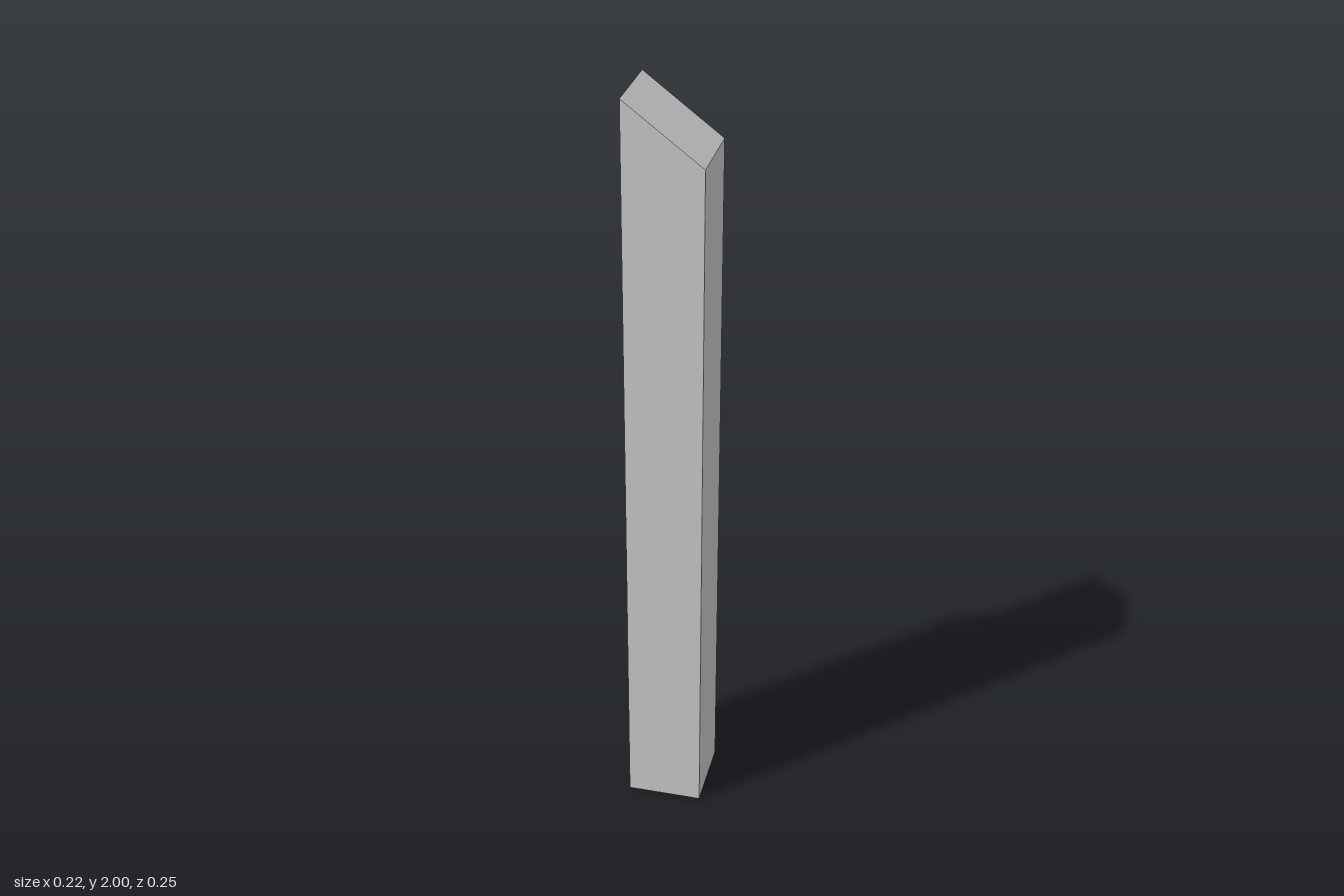
import * as THREE from 'three';

const material = new THREE.MeshStandardMaterial({ color: 0xcccccc, side: THREE.DoubleSide, flatShading: true });

function makeMesh(name, geometry, parent) {
  const mesh = new THREE.Mesh(geometry, material);
  mesh.name = name;
  parent.add(mesh);
  return mesh;
}

const toPoints = (list) => list.map(([x, y]) => new THREE.Vector2(x, y));
const rect = (x0, y0, x1, y1) => [[x0, y0], [x1, y0], [x1, y1], [x0, y1]];

// Flat sheet with optional holes, placed at depth z
function sheet(outline, z, holes = []) {
  const shape = new THREE.Shape(toPoints(outline));
  holes.forEach((h) => shape.holes.push(new THREE.Path(toPoints(h))));
  return new THREE.ShapeGeometry(shape).translate(0, 0, z);
}

// Walls along a counter-clockwise run of points, from depth z0 (back) to z1 (front)
function walls(run, z0, z1) {
  const pos = [];
  for (let i = 0; i < run.length - 1; i++) {
    const [ax, ay] = run[i], [bx, by] = run[i + 1];
    pos.push(ax, ay, z1, ax, ay, z0, bx, by, z0);
    pos.push(ax, ay, z1, bx, by, z0, bx, by, z1);
  }
  const geometry = new THREE.BufferGeometry();
  geometry.setAttribute('position', new THREE.Float32BufferAttribute(pos, 3));
  geometry.computeVertexNormals();
  return geometry;
}

export function createModel() {
  const model = new THREE.Group();
  model.name = 'slantedTower';

  // Main tower: hollow, open below, with its back panel set in behind a rim
  const tower = new THREE.Group();
  tower.name = 'tower';
  model.add(tower);
  const [x0, x1, zBack, zFront] = [-0.09, 0.108, -0.078, 0.127];
  const outline = [[x1, 0], [x1, 1.85], [x0, 2], [x0, 0]];
  makeMesh('towerFront', sheet(outline, zFront), tower);
  makeMesh('towerBackPanel', sheet(outline, -0.072), tower);
  makeMesh('towerSideAndRoof', walls(outline.slice(0, 3), zBack, zFront), tower);

  // Side wall with a window recess above and a tall slot below
  const side = new THREE.Group();
  side.name = 'recessedSide';
  side.rotation.y = -Math.PI / 2;
  side.position.x = x0;
  tower.add(side);
  const recesses = [
    { name: 'windowRecess', loop: rect(-0.07, 1.43, 0.119, 1.935), depth: 0.005 },
    { name: 'slotRecess', loop: rect(-0.003, 0.03, 0.053, 1.365), depth: 0.005 },
  ];
  makeMesh('sideWall', sheet(rect(zBack, 0, zFront, 2), 0, recesses.map((r) => r.loop)), side);
  recesses.forEach(({ name, loop, depth }) => {
    makeMesh(name + 'Panel', sheet(loop, -depth), side);
    makeMesh(name + 'Reveal', walls([...loop, loop[0]].reverse(), -depth, 0), side);
  });

  // Lower slab on the back, sloping the opposite way, open below
  const slab = new THREE.Group();
  slab.name = 'backSlab';
  model.add(slab);
  const slabOutline = [[0.07, 0], [0.07, 1.53], [-0.109, 1.35], [-0.109, 0]];
  makeMesh('slabFront', sheet(slabOutline, -0.073), slab);
  makeMesh('slabBackPanel', sheet(slabOutline, -0.124), slab);
  makeMesh('slabSidesAndTop', walls(slabOutline, -0.127, -0.073), slab);

  return model;
}
